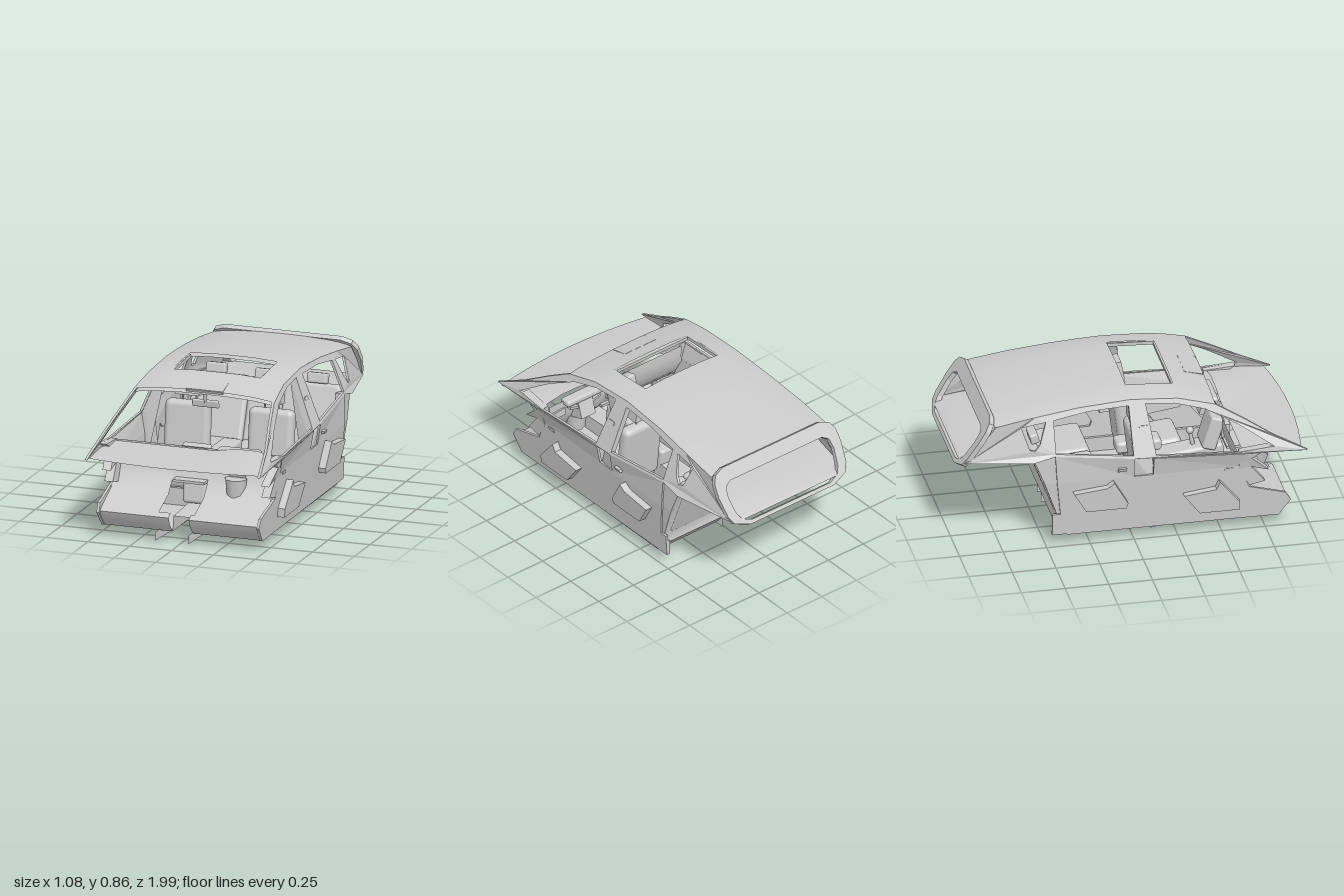
import * as THREE from 'three';
import { RoundedBoxGeometry } from 'three/addons/geometries/RoundedBoxGeometry.js';
import { toCreasedNormals } from 'three/addons/utils/BufferGeometryUtils.js';

const mat = new THREE.MeshStandardMaterial({ color: 0xcccccc, side: THREE.DoubleSide });

export function createModel() {
  const car = new THREE.Group();
  car.name = 'carCabin';

  const add = (name, geo, pos = [0, 0, 0], rot = [0, 0, 0]) => {
    const m = new THREE.Mesh(geo, mat);
    m.name = name;
    m.position.set(...pos);
    m.rotation.set(...rot);
    car.add(m);
    return m;
  };
  const box = (name, size, pos, rot) => add(name, new THREE.BoxGeometry(...size), pos, rot);
  const soft = (name, size, pos, rot, r = 0.025) =>
    add(name, new RoundedBoxGeometry(...size, 3, r), pos, rot);

  // Sheet through rows of points; skip(i, j) leaves a cell open
  const sheet = (name, rows, skip = () => false) => {
    const n = rows[0].length, idx = [];
    for (let i = 0; i < rows.length - 1; i++)
      for (let j = 0; j < n - 1; j++) {
        if (skip(i, j)) continue;
        const a = i * n + j, b = a + n;
        idx.push(a, b, a + 1, a + 1, b, b + 1);
      }
    const g = new THREE.BufferGeometry();
    g.setAttribute('position', new THREE.Float32BufferAttribute(rows.flat(2), 3));
    g.setIndex(idx);
    g.computeVertexNormals();
    return add(name, toCreasedNormals(g, 0.6));
  };

  // Half-width of the body: widest at the belt line, drawn in towards the tail
  const bodyX = (y, z) => {
    const x = y < 0.4 ? 0.48 + (y - 0.06) * 0.06 : y < 0.49 ? 0.5 + (y - 0.4) * 0.33 : 0.53 - (y - 0.49) * 0.4;
    const low = THREE.MathUtils.clamp((0.8 - y) / 0.25, 0, 1);
    return x - Math.max(0, -0.5 - z) * 0.2 * low;
  };

  // Side panel drawn as (z, y) outline with holes, bent to the body, on both sides
  const toPath = (pts, C = THREE.Path) => new C(pts.map(([z, y]) => new THREE.Vector2(z, y)));
  const sidePanel = (name, outline, holes = [], thick = 0.015, out = 0) => {
    const s = toPath(outline, THREE.Shape);
    s.holes = holes.map(h => toPath(h));
    const g = new THREE.ExtrudeGeometry(s, { depth: thick, bevelEnabled: false });
    const p = g.attributes.position;
    for (let i = 0; i < p.count; i++) {
      const z = p.getX(i), y = p.getY(i), d = p.getZ(i);
      p.setXYZ(i, bodyX(y, z) + out - d, y, z);
    }
    g.computeVertexNormals();
    add(name + 'Left', g);
    add(name + 'Right', g).scale.x = -1;
  };

  // Upper side frames: windscreen pillar, middle pillar, rear quarter
  sidePanel('windowFrame', [
    [0.99, 0.475], [0.8, 0.575], [0.63, 0.68], [0.48, 0.765], [0.27, 0.815], [0, 0.832],
    [-0.3, 0.815], [-0.55, 0.785], [-0.77, 0.75], [-0.95, 0.54], [-0.57, 0.54], [-0.45, 0.57], [0, 0.52], [0.65, 0.49]], [
    [[0.8, 0.515], [0.6, 0.65], [0.42, 0.745], [0.25, 0.79], [0.085, 0.803], [0.125, 0.525], [0.6, 0.503]],
    [[-0.012, 0.8], [-0.25, 0.79], [-0.445, 0.76], [-0.445, 0.583], [-0.005, 0.535]],
    [[-0.49, 0.755], [-0.63, 0.735], [-0.59, 0.61], [-0.56, 0.605], [-0.53, 0.64]],
  ]);

  // Lower doors, opened behind the pockets, with flared belt bands above
  const frontPocket = [[0.6, 0.14], [0.6, 0.19], [0.485, 0.33], [0.465, 0.285], [0.28, 0.26], [0.37, 0.14]];
  const rearPocket = [[-0.04, 0.25], [-0.12, 0.39], [-0.16, 0.36], [-0.35, 0.34], [-0.28, 0.22], [-0.05, 0.22]];
  sidePanel('lowerDoor', [
    [0.83, 0.06], [0.9, 0.15], [0.87, 0.2], [0.66, 0.26], [0.6, 0.4], [-0.44, 0.4],
    [-0.42, 0.2], [-0.465, 0.2], [-0.465, 0.07]], [frontPocket, rearPocket]);
  sidePanel('frontDoorBelt', [[0.6, 0.4], [0.65, 0.49], [0.11, 0.513], [0.11, 0.4]]);
  sidePanel('rearDoorBelt', [[0, 0.4], [0, 0.52], [-0.45, 0.57], [-0.44, 0.4]]);
  sidePanel('rearPillar', [[-0.44, 0.4], [-0.45, 0.57], [-0.57, 0.55], [-0.51, 0.4], [-0.44, 0.2], [-0.42, 0.2]], [], 0.05, -0.01);
  sidePanel('middlePillar', [[0.08, 0.8], [-0.01, 0.81], [0, 0.52], [0, 0.31], [0.13, 0.32], [0.12, 0.52]], [], 0.03, -0.012);
  sidePanel('frontDoorPocket', frontPocket, [], 0.042, 0.042);
  sidePanel('rearDoorPocket', rearPocket, [], 0.042, 0.042);
  for (const [z, y] of [[0.54, 0.385], [-0.07, 0.455], [0.06, 0.68]])
    sidePanel('doorHandle', [[z - 0.025, y - 0.01], [z + 0.02, y - 0.007], [z + 0.025, y + 0.01], [z - 0.02, y + 0.01]], [], 0.02, 0.004);
  // Front corner trim beside the dashboard
  sidePanel('dashCorner', [[0.75, 0.29], [0.67, 0.39], [0.77, 0.36], [0.67, 0.45], [0.78, 0.515], [0.6, 0.5], [0.6, 0.38], [0.66, 0.27]], [], 0.05);

  // Roof skin with sunroof opening: [z, edge height, crown height]
  const roofRows = [
    [0.48, 0.765, 0.792], [0.38, 0.792, 0.82], [0.27, 0.815, 0.846], [0.13, 0.825, 0.861], [0, 0.832, 0.866],
    [-0.15, 0.826, 0.86], [-0.3, 0.815, 0.846], [-0.55, 0.785, 0.815], [-0.78, 0.75, 0.782]];
  const across = [-1, -0.92, -0.8, -0.66, -0.33, 0, 0.33, 0.66, 0.8, 0.92, 1];
  const roof = drop => roofRows.map(([z, e, c]) => across.map(u =>
    [u * bodyX(e, z), e + (c - e) * (1 - Math.abs(u) ** 3) - drop, z]));
  const sunroof = (i, j) => (i === 2 || i === 3) && j >= 3 && j <= 6;
  sheet('roof', roof(0), sunroof);
  sheet('headliner', roof(0.02), sunroof);
  box('sunroofFrontRail', [0.52, 0.02, 0.03], [0, 0.822, 0.28]);
  for (const s of [-1, 1]) box('sunroofSideRail', [0.01, 0.02, 0.27], [s * 0.262, 0.833, 0.135], [0.05, 0, 0]);

  // Sloping rear window surround with a thin lower bar
  const ringShape = toPath([[-0.4, 0.03], [-0.425, 0.08], [-0.44, 0.2], [-0.435, 0.28], [-0.41, 0.325], [-0.35, 0.35],
    [0.35, 0.35], [0.41, 0.325], [0.435, 0.28], [0.44, 0.2], [0.425, 0.08], [0.4, 0.03], [0.3, -0.01], [-0.3, -0.01]], THREE.Shape);
  ringShape.holes.push(toPath([[-0.34, 0.035], [-0.365, 0.08], [-0.38, 0.18], [-0.37, 0.24], [-0.33, 0.265], [0.33, 0.265],
    [0.37, 0.24], [0.38, 0.18], [0.365, 0.08], [0.34, 0.035], [0.28, 0.012], [-0.28, 0.012]]));
  add('rearWindowFrame', new THREE.ExtrudeGeometry(ringShape, { depth: 0.03, bevelEnabled: false }),
    [0, 0.502, -0.985], [0.567, 0, 0]);
  // Rear shelf
  sheet('rearShelf', [[[-0.49, 0.545, -0.57], [0.49, 0.545, -0.57]], [[-0.42, 0.54, -0.95], [0.42, 0.54, -0.95]],
    [[-0.34, 0.53, -0.97], [0.34, 0.53, -0.97]]]);

  // Cowl and dashboard top, bowed forward in the middle
  const xs = [-1, -0.75, -0.5, -0.25, 0, 0.25, 0.5, 0.75, 1];
  sheet('dashTop', [[0.99, 0.475, 0.53], [0.85, 0.485, 0.52], [0.72, 0.493, 0.5], [0.62, 0.495, 0.49]].map(([z, y, w], i) =>
    xs.map((u, j) => [u * w, y + (i > 1 && (j === 6 || j === 7) ? 0.022 : 0), z + (i ? 0 : 0.01 - 0.05 * u * u)])));

  // Firewall and footwells: [z, y]; the middle strip stops above the tunnel
  const wall = [[0.59, 0.495], [0.59, 0.44], [0.6, 0.38], [0.64, 0.3], [0.7, 0.235], [0.85, 0.175]];
  for (const [name, a, b, n] of [['leftFootwell', 0.08, 0.475, 6], ['rightFootwell', -0.475, -0.13, 6], ['centreDash', -0.13, 0.08, 4]])
    sheet(name, wall.slice(0, n).map(([z, y]) => [[a, y, z], [b, y, z]]));
  // Toe boards curling under to the floor
  for (const s of [-1, 1])
    sheet('toeBoard', [[0.85, 0.175], [0.885, 0.155], [0.865, 0.11], [0.82, 0.06]].map(([z, y]) => [[s * 0.06, y, z], [s * 0.475, y, z]]));
  soft('centreStack', [0.17, 0.2, 0.08], [-0.015, 0.4, 0.54], [0.3, 0, 0], 0.015);
  box('heaterBox', [0.15, 0.08, 0.05], [-0.015, 0.41, 0.61]);
  box('consoleBridge', [0.19, 0.015, 0.08], [-0.015, 0.315, 0.65]);
  soft('instrumentHood', [0.25, 0.04, 0.07], [0.25, 0.487, 0.58], [0, 0, 0], 0.015);
  box('sideVent', [0.09, 0.045, 0.04], [0.41, 0.425, 0.6], [0, 0, -0.1]);

  // Steering column with shroud and stalks
  box('steeringColumn', [0.1, 0.1, 0.1], [0.25, 0.41, 0.58], [0.3, 0, 0]);
  add('columnShroud', new THREE.CylinderGeometry(0.065, 0.055, 0.1, 8), [0.25, 0.3, 0.635]);
  for (const s of [-1, 1]) box('columnStalk', [0.08, 0.015, 0.03], [0.25 + s * 0.07, 0.45, 0.56], [0, 0, s * 0.25]);
  for (const x of [0.15, 0.23, 0.33]) box('pedal', [0.035, 0.045, 0.01], [x, 0.2, 0.72], [-0.5, 0, 0]);

  // Floor halves rising under the bench, sills, centre tunnel and lower rails
  for (const s of [-1, 1]) {
    box('floor', [0.415, 0.01, 1.2], [s * 0.268, 0.065, 0.22]);
    sheet('floorKickUp', [[0.06, -0.38], [0.14, -0.45]].map(([y, z]) => [[s * 0.06, y, z], [s * 0.47, y, z]]));
    box('sill', [0.02, 0.09, 1.28], [s * 0.465, 0.11, 0.18]);
    box('sillBracket', [0.012, 0.025, 0.03], [s * 0.435, 0.048, 0.12]);
  }
  sheet('tunnel', [0.82, 0.4, -0.44].map((z, i) => [[-0.06, 0.06, z], [-0.055, 0.15 + i * 0.02, z],
    [0.055, 0.15 + i * 0.02, z], [0.06, 0.06, z]]));
  for (const [front, rear] of [[-0.135, -0.07], [0.065, 0.09]])
    sheet('underRail', [[0.07, 0.07], [0.02, 0.003]].map(([yf, yr]) => [[front, yf, 0.9], [rear, yr, -0.28]]));
  box('exhaustBracket', [0.04, 0.012, 0.2], [0.15, 0.055, 0.2]);

  // Centre console, lever and armrest
  soft('console', [0.14, 0.16, 0.5], [-0.01, 0.22, 0.36], [-0.12, 0, 0], 0.02);
  soft('armrest', [0.12, 0.07, 0.26], [-0.01, 0.35, 0.12], [0, 0, 0], 0.02);
  add('gearLever', new THREE.CylinderGeometry(0.01, 0.014, 0.1, 8), [-0.01, 0.34, 0.43], [-0.2, 0, 0]);
  add('gearKnob', new THREE.SphereGeometry(0.022, 12, 8), [-0.01, 0.395, 0.42]);

  // Front seats
  for (const s of [-1, 1]) {
    soft('frontSeatCushion', [0.28, 0.1, 0.33], [s * 0.25, 0.22, 0.24], [-0.1, 0, 0], 0.035);
    soft('frontSeatBack', [0.27, 0.4, 0.08], [s * 0.25, 0.4, 0.07], [-0.12, 0, 0], 0.035);
    box('frontSeatBase', [0.24, 0.1, 0.26], [s * 0.25, 0.12, 0.22]);
    const head = new THREE.CylinderGeometry(0.075, 0.1, 0.125, 4, 1).rotateY(Math.PI / 4).scale(1, 1, 0.5);
    head.deleteAttribute('normal');
    add('frontHeadrest', toCreasedNormals(head, 0.4), [s * 0.245, 0.695, 0.05], [-0.1, 0, 0]);
    for (const d of [-0.04, 0.04])
      add('headrestPost', new THREE.CylinderGeometry(0.005, 0.005, 0.08, 6), [s * 0.245 + d, 0.615, 0.05]);
  }

  // Rear bench in three sections with low headrests
  for (const [x, w] of [[-0.275, 0.34], [0, 0.21], [0.275, 0.34]]) {
    soft('rearSeatBack', [w, 0.42, 0.06], [x, 0.39, -0.485], [-0.36, 0, 0], 0.025);
    soft('rearSeatCushion', [w, 0.12, 0.3], [x, 0.21, -0.27], [-0.08, 0, 0], 0.03);
    soft('rearHeadrest', [0.12, x ? 0.06 : 0.1, 0.05], [x * 1.1, x ? 0.62 : 0.6, x ? -0.54 : -0.51], [-0.25, 0, 0], 0.012);
  }
  sheet('rearBulkhead', [[[-0.47, 0.14, -0.45], [0.47, 0.14, -0.45]], [[-0.47, 0.2, -0.44], [0.47, 0.2, -0.44]],
    [[-0.48, 0.545, -0.57], [0.48, 0.545, -0.57]]]);

  // Overhead console and mirror
  box('overheadConsole', [0.22, 0.018, 0.11], [0, 0.801, 0.42], [0.25, 0, 0]);
  add('mirrorStem', new THREE.CylinderGeometry(0.006, 0.014, 0.05, 8), [0, 0.745, 0.46], [Math.PI, 0, 0]);
  soft('rearMirror', [0.16, 0.045, 0.02], [0, 0.712, 0.45], [0.15, 0, 0], 0.009);

  return car;
}
